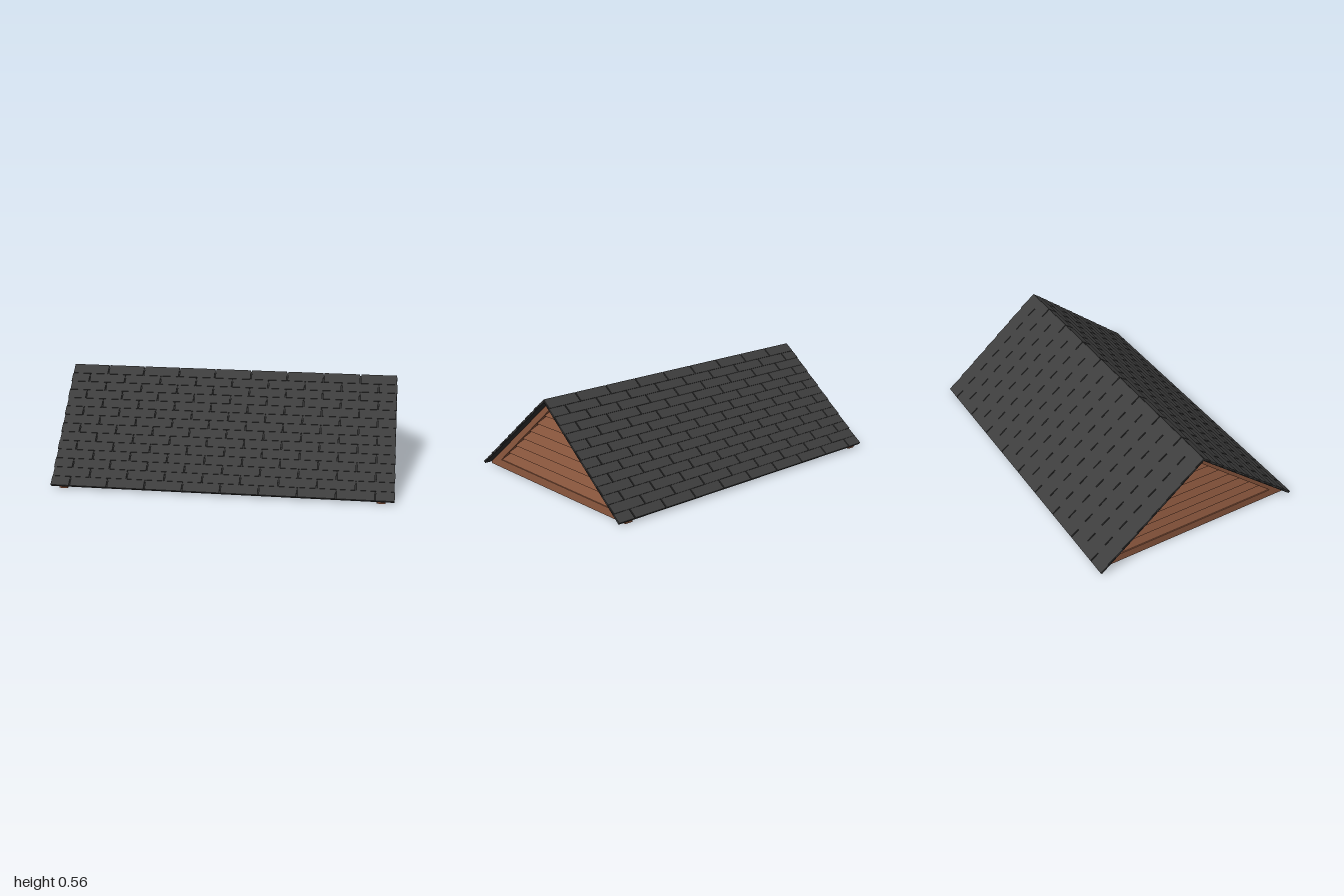
import * as THREE from 'three';

const material = (name, color) => {
  const m = new THREE.MeshStandardMaterial({ color });
  m.name = name;
  return m;
};

export function createModel() {
  const shingleGrey = material('shingle grey', 0x3d3d3d);
  const deckGrey = material('deck grey', 0x2a2a2a);
  const wood = material('brown wood', 0x8b573e);

  const model = new THREE.Group();
  model.name = 'gableRoof';

  const add = (parent, name, geometry, mat, x = 0, y = 0, z = 0) => {
    const mesh = new THREE.Mesh(geometry, mat);
    mesh.name = name;
    mesh.position.set(x, y, z);
    parent.add(mesh);
    return mesh;
  };
  const box = (w, h, d) => new THREE.BoxGeometry(w, h, d);

  // Roof slopes: a thin deck carrying staggered rows of shingles
  const run = 0.655, ridgeY = 0.552, rise = 0.537;
  const pitch = Math.atan2(rise, run), length = Math.hypot(run, rise);
  const rows = 14, tileW = 2 / 9, gap = 0.007, rowL = length / rows;

  function roofSlope(name) {
    const side = new THREE.Group();
    side.name = name;
    const slope = new THREE.Group();
    slope.position.y = ridgeY;
    slope.rotation.x = pitch;
    side.add(slope);
    add(slope, 'roofDeck', box(1.996, 0.006, length), deckGrey, 0, -0.003, length / 2);
    for (let r = 0; r < rows; r++) {
      const row = new THREE.Group();
      row.name = 'shingleRow';
      slope.add(row);
      // the top row reaches up to close the ridge
      const z0 = r === 0 ? -0.007 : r * rowL, z1 = (r + 1) * rowL;
      const shift = r % 2 ? tileW / 2 : 0;
      for (let i = 0; i < (shift ? 10 : 9); i++) {
        const x0 = Math.max(-1, -1 - shift + i * tileW + gap / 2);
        const x1 = Math.min(1, -1 - shift + (i + 1) * tileW - gap / 2);
        const tile = add(row, 'shingle', box(x1 - x0, 0.007, z1 - z0), shingleGrey,
          (x0 + x1) / 2, 0.0045, (z0 + z1) / 2);
        tile.rotation.x = -0.05;
      }
    }
    return side;
  }
  const back = roofSlope('backSlope');
  back.rotation.y = Math.PI;
  model.add(roofSlope('frontSlope'), back);

  // Extrude an outline given as [z, y] points into a plate standing across x
  function plate(points, depth, hole) {
    const shape = new THREE.Shape(points.map(p => new THREE.Vector2(...p)));
    if (hole) shape.holes.push(new THREE.Path(hole.map(p => new THREE.Vector2(...p))));
    const g = new THREE.ExtrudeGeometry(shape, { depth, bevelEnabled: false });
    return g.translate(0, 0, -depth / 2).rotateY(Math.PI / 2);
  }

  // Gable ends: a triangular frame filled with lapped, tilted boards
  const frame = plate(
    [[-0.65, 0], [0.65, 0], [0.65, 0.012], [0, 0.545], [-0.65, 0.012]], 0.05,
    [[-0.54, 0.05], [0, 0.5], [0.54, 0.05]]);
  const boards = 7, step = 0.45 / boards;
  const halfWidth = y => 0.54 * (0.5 - y) / 0.45 + 0.006;

  for (const s of [1, -1]) {
    const gable = new THREE.Group();
    gable.name = s > 0 ? 'leftGable' : 'rightGable';
    gable.position.x = s * 0.925;
    if (s < 0) gable.rotation.y = Math.PI;
    add(gable, 'gableFrame', frame, wood);
    for (let i = 0; i < boards; i++) {
      const y = 0.05 + i * step, top = Math.min(y + step + 0.006, 0.5);
      const a = halfWidth(y), b = halfWidth(top);
      const g = plate([[-a, y], [a, y], [b, top], [-b, top]], 0.009);
      // lean each board inward towards its top
      const p = g.attributes.position;
      for (let k = 0; k < p.count; k++) {
        p.setX(k, p.getX(k) + 0.014 - 0.4 * (p.getY(k) - y));
      }
      g.computeVertexNormals();
      add(gable, 'gableBoard', g, wood);
    }
    model.add(gable);
  }

  // Eave beams joining the two gables
  for (const s of [1, -1]) {
    add(model, s > 0 ? 'frontBeam' : 'backBeam', box(1.8, 0.055, 0.05), wood, 0, 0.0275, s * 0.565);
  }
  return model;
}
